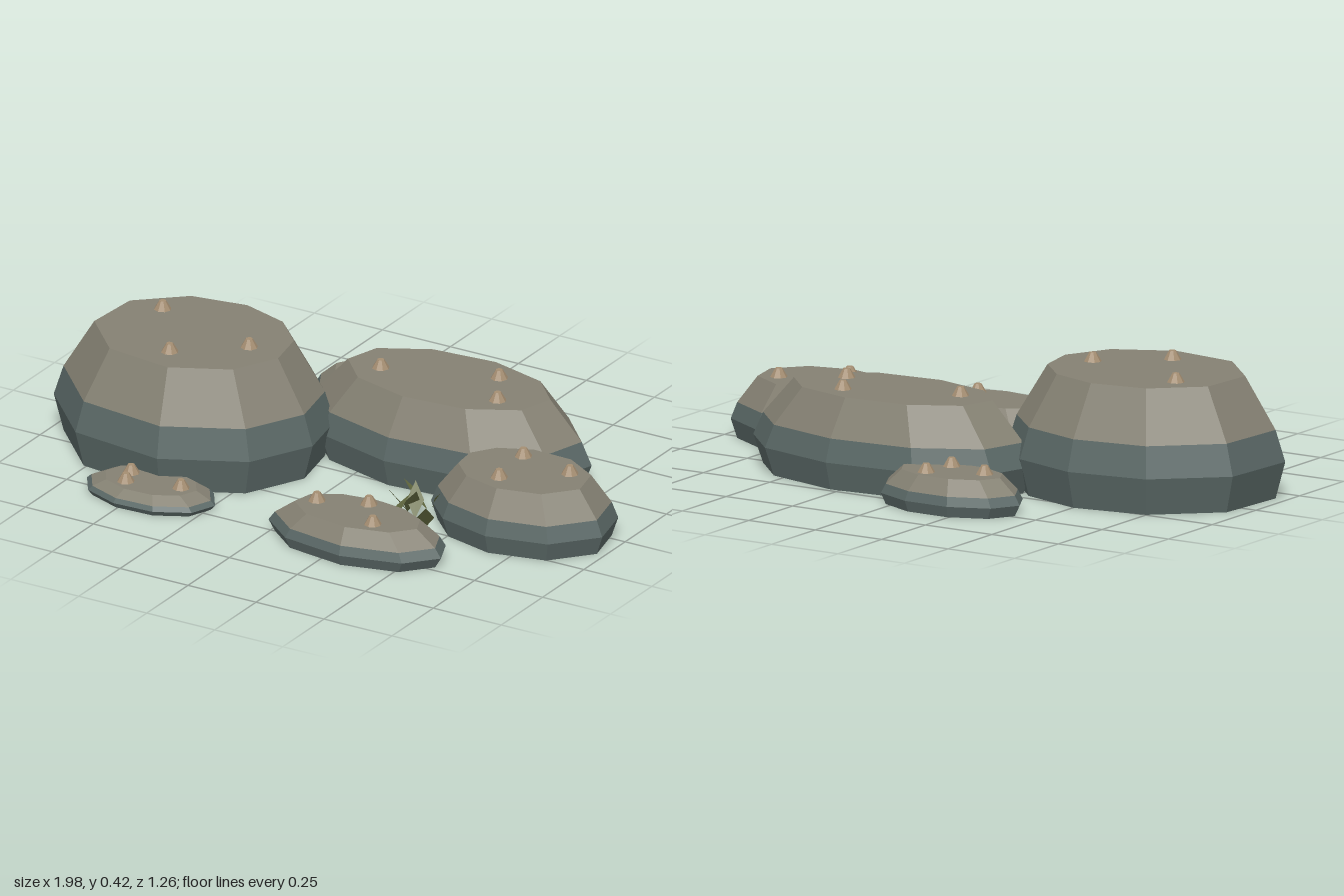
import * as THREE from 'three';

const SIDE = THREE.DoubleSide;
const mats = {
  dryStone: new THREE.MeshStandardMaterial({ color: 0x858173, flatShading: true, side: SIDE }),
  wetStone: new THREE.MeshStandardMaterial({ color: 0x5a6866, flatShading: true, side: SIDE }),
  barnacleShell: new THREE.MeshStandardMaterial({ color: 0xa58e72, flatShading: true }),
  seaweedGreen: new THREE.MeshStandardMaterial({ color: 0x666d42, flatShading: true, side: SIDE }),
};
for (const [name, m] of Object.entries(mats)) m.name = name;

// Centre and half size in x and z, height, first corner angle,
// uneven corner spacing (amount and direction, degrees), barnacle positions (x, z)
const boulders = [
  { name: 'largeBoulder', x: -.545, z: .07, rx: .465, rz: .385, h: .387, start: 195, skew: -11, skewDir: 50,
    barnacles: [[-.725, -.04], [-.34, .07], [-.535, .23]] },
  { name: 'middleBoulder', x: .21, z: -.235, rx: .505, rz: .27, h: .287, start: 171, skew: 0, skewDir: 0,
    barnacles: [[-.02, -.2], [.34, -.325], [.425, -.175]] },
  { name: 'leftBoulder', x: .683, z: .085, rx: .317, rz: .227, h: .203, start: 191, skew: 9, skewDir: 100,
    barnacles: [[.62, -.01], [.815, .03], [.64, .17]] },
  { name: 'frontLeftStone', x: .3, z: .465, rx: .315, rz: .163, h: .115, start: 159, skew: 10, skewDir: 190,
    barnacles: [[.14, .45], [.295, .39], [.385, .515]] },
  { name: 'backStone', x: -.175, z: -.485, rx: .257, rz: .15, h: .115, start: 181, skew: 0, skewDir: 0,
    barnacles: [[-.285, -.465], [-.115, -.54], [-.135, -.425]] },
  { name: 'frontRightStone', x: -.455, z: .475, rx: .23, rz: .142, h: .055, start: 176, skew: 0, skewDir: 0,
    barnacles: [[-.54, .455], [-.52, .52], [-.345, .475]] },
];

// Ring heights and widths as fractions of the boulder
const levels = [[0, .93], [.31, 1], [.57, .93], [1, .71]];
const CORNERS = 10;
const rad = THREE.MathUtils.degToRad;

function flatMesh(name, points, material) {
  const g = new THREE.BufferGeometry().setFromPoints(points);
  g.computeVertexNormals();
  const mesh = new THREE.Mesh(g, material);
  mesh.name = name;
  return mesh;
}

function makeBoulder({ name, x, z, rx, rz, h, start, skew, skewDir, barnacles }) {
  const group = new THREE.Group();
  group.name = name;
  const rings = levels.map(([y, s]) => Array.from({ length: CORNERS }, (_, i) => {
    const even = start + i * 360 / CORNERS;
    const a = rad(even + skew * Math.cos(rad(even - skewDir)));
    return new THREE.Vector3(x + rx * s * Math.cos(a), y * h, z + rz * s * Math.sin(a));
  }));

  // Two wet bands below, one dry band and a flat dry top; open underneath
  const wet = [], dry = [];
  const centre = new THREE.Vector3(x, h, z);
  for (let i = 0; i < CORNERS; i++) {
    const j = (i + 1) % CORNERS;
    for (let k = 0; k < 3; k++) {
      const low = rings[k], high = rings[k + 1];
      (k < 2 ? wet : dry).push(low[i], high[i], low[j], low[j], high[i], high[j]);
    }
    dry.push(centre, rings[3][j], rings[3][i]);
  }
  group.add(flatMesh('wetBase', wet, mats.wetStone), flatMesh('dryTop', dry, mats.dryStone));

  // Barnacles sit slightly sunk into the top
  for (const [bx, bz] of barnacles) {
    const b = new THREE.Mesh(new THREE.CylinderGeometry(.011, .031, .034, 8), mats.barnacleShell);
    b.name = 'barnacle';
    b.position.set(bx, h + .012, bz);
    group.add(b);
  }
  return group;
}

// Seaweed leaves: centre x, centre z, base height, lean direction
const leaves = [
  [.305, .12, 0, 2.8], [.295, .21, .01, 2.2], [.345, .215, .02, .6], [.35, .2, .02, 4.2],
  [.35, .305, .03, 5.6], [.46, .32, .03, 1.0], [.425, .17, .04, .2],
];

// Each leaf is a leaning diamond
function makeLeaf([x, z, y, a]) {
  const dir = new THREE.Vector3(Math.cos(a), 0, Math.sin(a));
  const across = new THREE.Vector3(-dir.z, 0, dir.x);
  const at = (along, up, side) => new THREE.Vector3(x, y + up, z)
    .addScaledVector(dir, along).addScaledVector(across, side);
  const base = at(-.035, 0, 0), tip = at(.04, .1, 0);
  const l = at(0, .05, .028), r = at(0, .05, -.028);
  return flatMesh('seaweedLeaf', [base, l, tip, base, tip, r], mats.seaweedGreen);
}

export function createModel() {
  const model = new THREE.Group();
  model.name = 'shoreRocks';
  boulders.forEach(b => model.add(makeBoulder(b)));
  const weed = new THREE.Group();
  weed.name = 'seaweed';
  leaves.forEach(l => weed.add(makeLeaf(l)));
  model.add(weed);
  return model;
}
